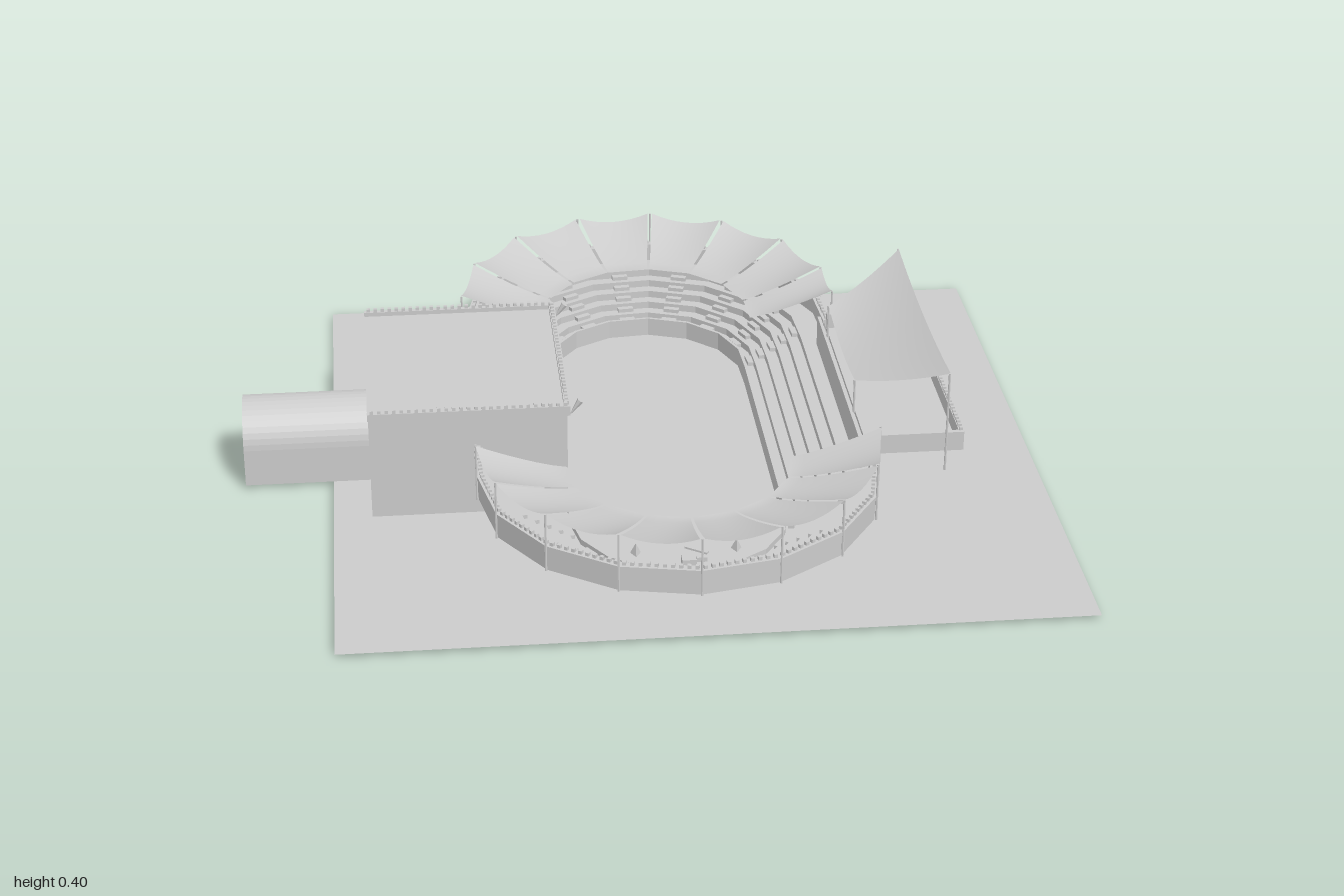
import * as THREE from 'three';
import { mergeGeometries } from 'three/addons/utils/BufferGeometryUtils.js';
import { ParametricGeometry } from 'three/addons/geometries/ParametricGeometry.js';

const flat = new THREE.MeshStandardMaterial({ color: 0xcccccc, flatShading: true, side: THREE.DoubleSide });
const smooth = new THREE.MeshStandardMaterial({ color: 0xcccccc, side: THREE.DoubleSide });

// A station is a point on the arena spine plus an outward direction
const CX = 0.06;
const station = (z, dx, dz = 0) => ({ z, dx, dz });
const arc = (z, count, step, sign) => Array.from({ length: count }, (_, i) => {
  const a = THREE.MathUtils.degToRad(-90 + step * i);
  return station(z, Math.sin(a), sign * Math.cos(a));
});
const frontEnd = [station(0.26, -1), ...arc(0.4, 9, 22.5, 1), station(0.36, 1)];
const backEnd = [station(-0.36, 1), ...arc(-0.42, 8, 24.2, -1).reverse(), station(-0.31, -1)];
const at = (s, r, y) => new THREE.Vector3(CX + s.dx * r, y, s.z + s.dz * r);

// Sweep a closed (radius, height) profile along stations, with end caps
function sweep(stations, profile) {
  const pos = [], n = profile.length;
  const put = (...pts) => pts.forEach(p => pos.push(p.x, p.y, p.z));
  for (let i = 0; i < stations.length - 1; i++) {
    for (let j = 0; j < n; j++) {
      const [r0, y0] = profile[j], [r1, y1] = profile[(j + 1) % n];
      const a = at(stations[i], r0, y0), b = at(stations[i], r1, y1);
      const c = at(stations[i + 1], r1, y1), d = at(stations[i + 1], r0, y0);
      put(a, d, b, b, d, c);
    }
  }
  const tris = THREE.ShapeUtils.triangulateShape(profile.map(p => new THREE.Vector2(...p)), []);
  const first = stations[0], last = stations[stations.length - 1];
  for (const t of tris) {
    put(...t.map(k => at(first, ...profile[k])));
    put(...t.map(k => at(last, ...profile[k])).reverse());
  }
  const g = new THREE.BufferGeometry();
  g.setAttribute('position', new THREE.Float32BufferAttribute(pos, 3));
  g.computeVertexNormals();
  return g;
}

// Box from its minimum and maximum corners
function box(x0, y0, z0, x1, y1, z1) {
  return new THREE.BoxGeometry(x1 - x0, y1 - y0, z1 - z0)
    .translate((x0 + x1) / 2, (y0 + y1) / 2, (z0 + z1) / 2);
}

// Row of small crenellations between two points
function teeth(a, b, size = 0.009) {
  const count = Math.max(2, Math.round(a.distanceTo(b) / (size * 2)));
  return Array.from({ length: count }, (_, i) => {
    const p = a.clone().lerp(b, (i + 0.5) / count);
    return new THREE.BoxGeometry(size, size, size).rotateY(Math.atan2(b.x - a.x, b.z - a.z)).translate(p.x, p.y, p.z);
  });
}

// Round-topped opening outline
function arch(path, x, w, y0, top) {
  const r = w / 2;
  path.moveTo(x - r, y0);
  path.lineTo(x + r, y0);
  path.lineTo(x + r, top - r);
  path.absarc(x, top - r, r, 0, Math.PI, false);
  path.lineTo(x - r, y0);
  return path;
}

// Extrude a z-y outline along x
const extrudeX = (shape, x0, x1, z) =>
  new THREE.ExtrudeGeometry(shape, { depth: x1 - x0, bevelEnabled: false, curveSegments: 10 })
    .rotateY(Math.PI / 2).translate(x0, 0, z);

// U-shaped barrel vault outline, open at the bottom
function vault(w, top, t) {
  const s = new THREE.Shape(), r = w / 2;
  s.moveTo(r, 0.01);
  s.lineTo(r, top - r);
  s.absarc(0, top - r, r, 0, Math.PI, false);
  s.lineTo(-r, 0.01);
  s.lineTo(-r + t, 0.01);
  s.lineTo(-r + t, top - r);
  s.absarc(0, top - r, r - t, Math.PI, 0, true);
  s.lineTo(r - t, 0.01);
  return s;
}

export function createModel() {
  const model = new THREE.Group();
  const add = (name, geos, material = flat) => {
    const list = [].concat(geos);
    const mesh = new THREE.Mesh(list.length > 1 ? mergeGeometries(list) : list[0], material);
    mesh.name = name;
    model.add(mesh);
    return mesh;
  };

  // Ground
  add('ground', new THREE.PlaneGeometry(1.78, 1.77).rotateX(-Math.PI / 2).translate(0.11, 0.01, -0.005));

  // Stepped seating bowl
  const N = 6, R0 = 0.26, RUN = 0.03, stepY = i => 0.045 + 0.019 * i;
  const profile = [[R0, 0], [R0, 0.06], [R0 + 0.008, 0.06], [R0 + 0.008, stepY(0)]];
  for (let i = 0; i < N; i++) {
    if (i) profile.push([R0 + RUN * i, stepY(i)]);
    profile.push([i < N - 1 ? R0 + RUN * (i + 1) : 0.48, stepY(i)]);
  }
  profile.push([0.48, 0.125]);
  for (let i = N - 1; i > 0; i--) {
    const r = R0 + RUN * i + 0.01;
    profile.push([r, stepY(i) - 0.02], [r, stepY(i - 1) - 0.02]);
  }
  profile.push([R0 + 0.01, 0.025], [R0 + 0.01, 0]);
  add('seatingTiers', sweep([...frontEnd, ...backEnd], profile));

  // Outer parapets, crenellations, aisle steps, posts and canopies at both ends
  const canopyY = v => 0.205 + 0.07 * Math.pow(v, 1.3);
  for (const [side, ends] of [['front', frontEnd], ['back', backEnd]]) {
    add(side + 'Parapet', [
      sweep(ends, [[0.472, 0.125], [0.472, 0.188], [0.486, 0.188], [0.486, 0.125]]),
      sweep(ends, [[0.468, 0.18], [0.468, 0.19], [0.49, 0.19], [0.49, 0.18]]),
    ]);
    const covered = side === 'front' ? ends.slice(1, 10) : ends.slice(0, 9);
    const crenels = [], aisles = [], posts = [], panels = [];
    for (let i = 0; i < ends.length - 1; i++) {
      crenels.push(...teeth(at(ends[i], 0.479, 0.194), at(ends[i + 1], 0.479, 0.194)));
    }
    for (const s of covered) {
      const p = at(s, 0.49, 0.2);
      posts.push(new THREE.CylinderGeometry(0.003, 0.003, 0.15, 6).translate(p.x, p.y, p.z));
    }
    for (let i = 0; i < covered.length - 1; i++) {
      const a = covered[i], b = covered[i + 1];
      const turn = Math.atan2(a.dx + b.dx, a.dz + b.dz);
      for (let k = 1; k < N; k++) {
        const r = R0 + RUN * k - 0.005, y = stepY(k) - 0.024;
        const p = at(a, r, y).lerp(at(b, r, y), 0.5);
        aisles.push(new THREE.BoxGeometry(0.042, 0.03, 0.022).rotateY(turn).translate(p.x, p.y, p.z));
      }
      panels.push(new ParametricGeometry((u, v, out) => {
        const r = 0.272 + 0.22 * v, w = 0.03 + 0.94 * u;
        out.copy(at(a, r, 0)).lerp(at(b, r, 0), w);
        out.y = canopyY(v) - 0.07 * u * (1 - u) * v;
      }, 8, 6));
    }
    add(side + 'Crenellations', crenels);
    add(side + 'AisleSteps', aisles);
    add(side + 'CanopyPosts', posts);
    add(side + 'Canopies', panels, smooth);
  }

  // Gatehouse walls, with arched gates and niche windows
  const MID = -0.025, HALF = 0.285;
  const gateWall = windows => {
    const s = new THREE.Shape([[-HALF, 0], [HALF, 0], [HALF, 0.28], [-HALF, 0.28]].map(p => new THREE.Vector2(...p)));
    s.holes.push(arch(new THREE.Path(), 0, 0.17, 0.011, 0.195));
    if (windows) for (const x of [-0.225, 0.225]) s.holes.push(arch(new THREE.Path(), x, 0.045, 0.12, 0.235));
    return s;
  };
  add('gatehouseFrontWall', extrudeX(gateWall(true), -0.22, -0.2, MID));
  add('gatehouseBackWall', extrudeX(gateWall(false), -0.685, -0.665, MID));
  add('gatehouseSideWalls', [box(-0.685, 0, -0.31, -0.2, 0.28, -0.29), box(-0.685, 0, 0.24, -0.2, 0.28, 0.26)]);
  add('gatehouseRoof', box(-0.687, 0.275, -0.31, -0.198, 0.285, 0.26));
  add('gateSurround', extrudeX(vault(0.2, 0.21, 0.018), -0.2, -0.188, MID));

  // Roof edge strips with beads
  const V = (x, y, z) => new THREE.Vector3(x, y, z);
  add('roofEdges', [
    box(-0.687, 0.285, -0.314, -0.195, 0.296, -0.302), box(-0.687, 0.285, 0.252, -0.195, 0.296, 0.264),
    box(-0.207, 0.27, -0.314, -0.192, 0.296, 0.264),
    ...teeth(V(-0.685, 0.3, -0.308), V(-0.195, 0.3, -0.308)),
    ...teeth(V(-0.685, 0.3, 0.258), V(-0.195, 0.3, 0.258)),
    ...teeth(V(-0.2, 0.3, -0.308), V(-0.2, 0.3, 0.258)),
  ]);

  // Wall torches
  add('wallTorches', [-0.3, 0.24].map(z =>
    new THREE.ConeGeometry(0.009, 0.05, 6).rotateX(Math.PI).rotateZ(-0.6).translate(-0.18, 0.278, z)));

  // Barrel-vaulted entrance tunnel
  add('entranceTunnel', extrudeX(vault(0.195, 0.205, 0.012), -1, -0.685, MID));

  // Viewing box: support wall, tray floor and railings
  add('boxSupportWall', box(0.506, 0, -0.32, 0.514, 0.222, 0.36));
  add('viewingBox', [
    box(0.53, 0.18, -0.32, 0.765, 0.19, 0.36),
    box(0.53, 0.18, -0.325, 0.765, 0.23, -0.313), box(0.53, 0.18, 0.352, 0.765, 0.23, 0.364),
    box(0.753, 0.18, -0.325, 0.765, 0.23, 0.364),
    ...teeth(V(0.759, 0.233, -0.32), V(0.759, 0.233, 0.36)),
  ]);

  // Viewing box awning with its four posts
  add('boxAwning', new ParametricGeometry((u, v, out) => {
    const half = 0.21 + 0.15 * v, w = 2 * u - 1;
    out.set(0.515 + 0.207 * v, 0.31 + 0.05 * v + 0.035 * v * v - 0.018 * (1 - w * w), 0.01 + half * w);
  }, 16, 8), smooth);
  add('awningPosts', [[0.515, 0.21, 0, 0.31], [0.72, 0.36, 0.13, 0.395]].flatMap(([x, z, y0, y1]) =>
    [-1, 1].map(s => new THREE.CylinderGeometry(0.003, 0.003, y1 - y0, 6).translate(x, (y0 + y1) / 2, 0.01 + s * z))));

  // Small props on the arena floor
  add('trestles', [-0.055, 0.19].map(x => new THREE.ConeGeometry(0.015, 0.03, 3).translate(x, 0.025, 0.5)));
  add('cart', [
    box(0.05, 0.01, 0.545, 0.085, 0.03, 0.575),
    new THREE.BoxGeometry(0.06, 0.005, 0.012).rotateY(-0.6).translate(0.09, 0.032, 0.53),
    new THREE.BoxGeometry(0.025, 0.012, 0.015).translate(0.1, 0.018, 0.548),
  ]);
  return model;
}
